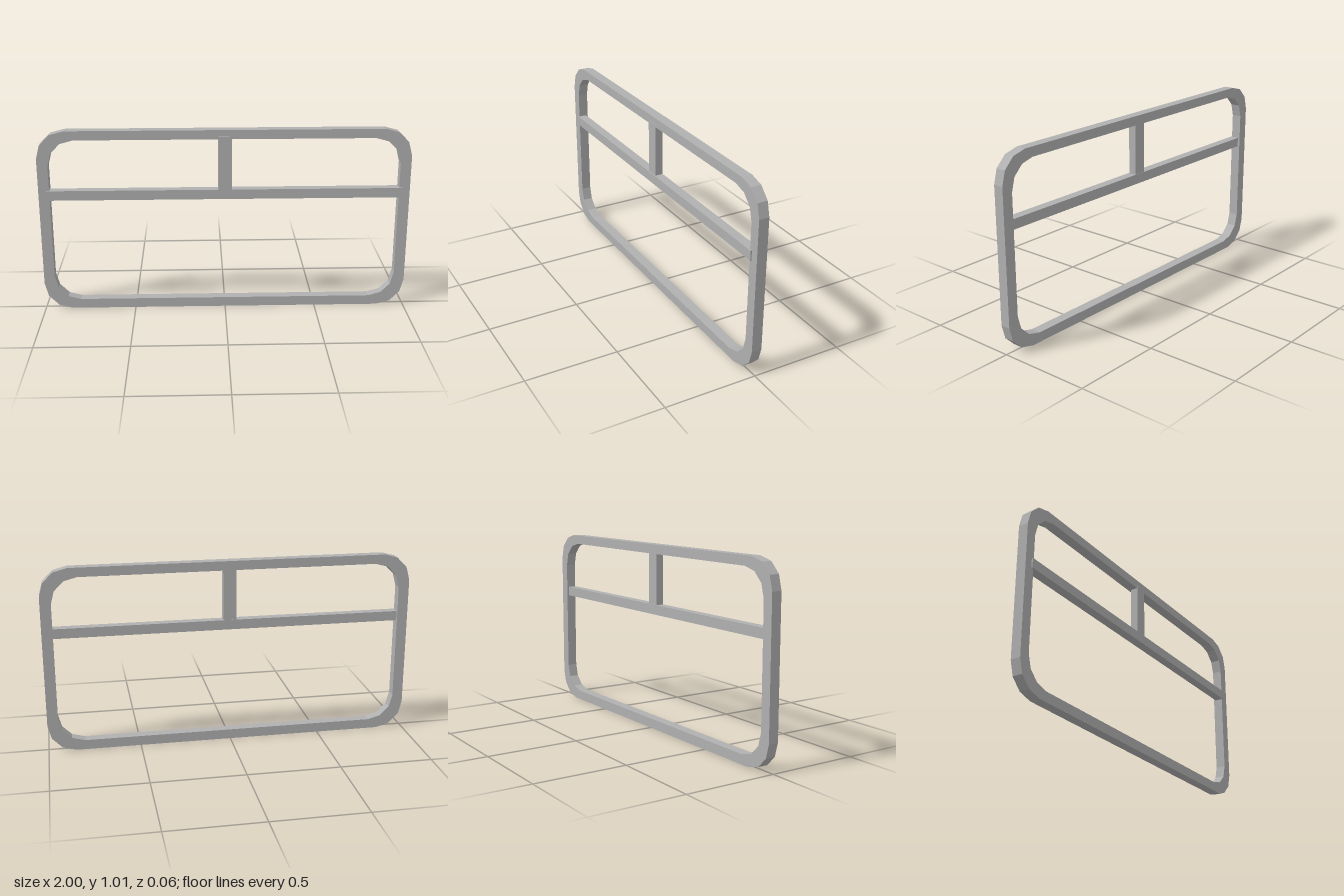
import * as THREE from 'three';

// Corner points of a rounded rectangle, counter-clockwise, with three facets per corner
function roundedRect(halfW, y0, y1, r) {
  const corners = [
    [halfW - r, y1 - r], [-halfW + r, y1 - r],
    [-halfW + r, y0 + r], [halfW - r, y0 + r],
  ];
  const pts = [];
  corners.forEach(([cx, cy], i) => {
    for (let k = 0; k <= 3; k++) {
      const a = (i + k / 3) * Math.PI / 2;
      pts.push(new THREE.Vector2(cx + r * Math.cos(a), cy + r * Math.sin(a)));
    }
  });
  return pts;
}

export function createModel() {
  const group = new THREE.Group();
  group.name = 'windowFrame';
  const grey = new THREE.MeshStandardMaterial({ color: 0xb0b0b0, flatShading: true });
  grey.name = 'grey';

  function add(name, geometry) {
    const mesh = new THREE.Mesh(geometry, grey);
    mesh.name = name;
    group.add(mesh);
  }

  function bar(name, halfW, y0, y1, z0, z1) {
    const geometry = new THREE.BoxGeometry(halfW * 2, y1 - y0, z1 - z0);
    geometry.translate(0, (y0 + y1) / 2, (z0 + z1) / 2);
    add(name, geometry);
  }

  // Outer frame with faceted corners
  const shape = new THREE.Shape(roundedRect(1, 0, 1.015, 0.15));
  shape.holes.push(new THREE.Path(roundedRect(0.942, 0.053, 0.965, 0.14)));
  const frame = new THREE.ExtrudeGeometry(shape, { depth: 0.055, bevelEnabled: false });
  frame.translate(0, 0, -0.03);
  add('outerFrame', frame);

  // Horizontal crossbar, slightly proud of the frame front
  bar('crossbar', 0.957, 0.635, 0.688, -0.018, 0.032);

  // Short upright between crossbar and top rail
  bar('mullion', 0.036, 0.67, 0.982, -0.016, 0.027);

  return group;
}
